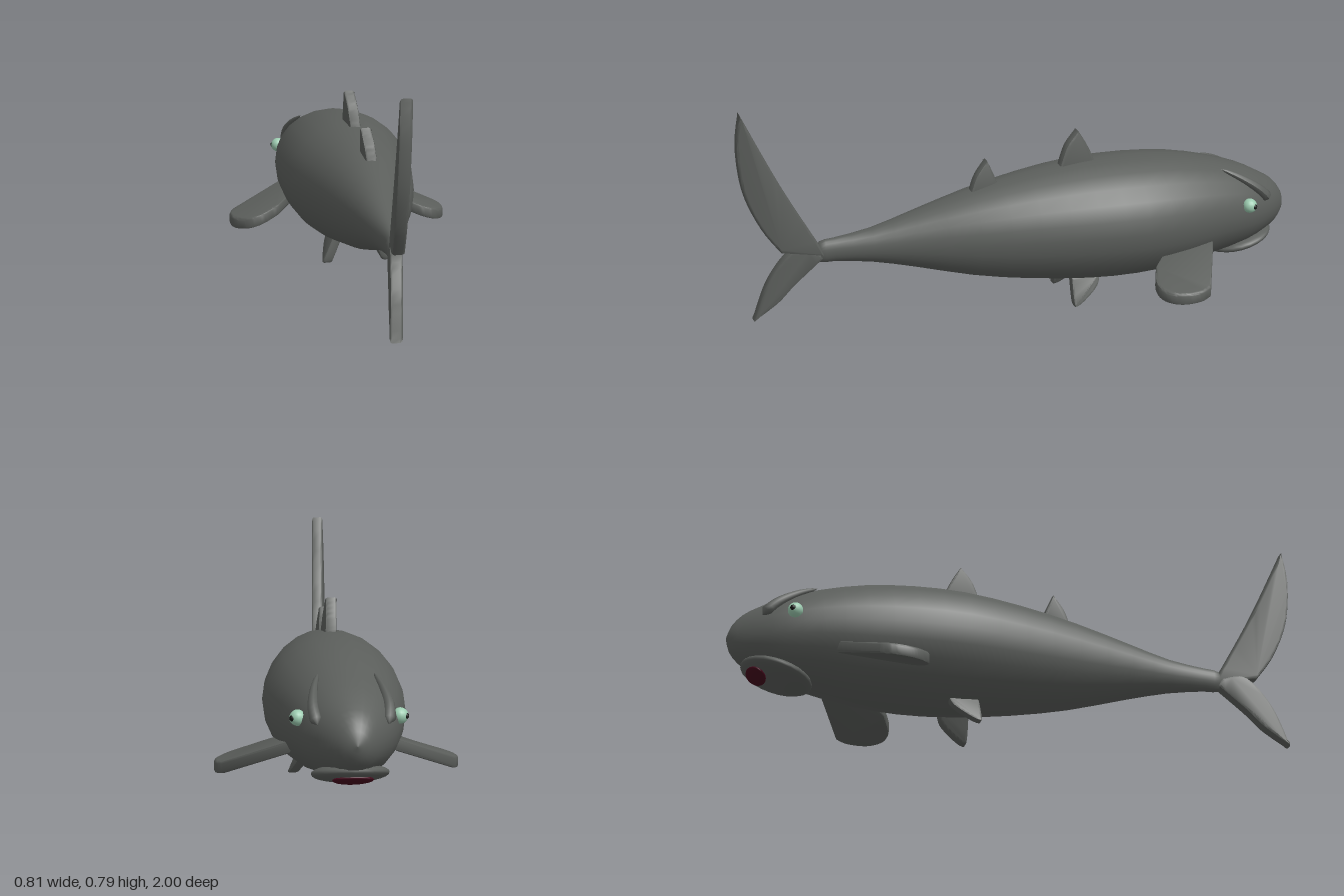
import * as THREE from 'three';
import { toCreasedNormals } from 'three/addons/utils/BufferGeometryUtils.js';

const mat = (name, color) => {
  const m = new THREE.MeshStandardMaterial({ color });
  m.name = name;
  return m;
};

export function createModel() {
  const group = new THREE.Group();
  const skin = mat('greySkin', 0x5b5e5b);
  const eyeMat = mat('mintEye', 0x9ccbb0);
  const dark = mat('blackPupil', 0x141614);
  const red = mat('maroonMouth', 0x45061c);

  const add = (name, geo, material) => {
    const mesh = new THREE.Mesh(geo, material);
    mesh.name = name;
    group.add(mesh);
    return mesh;
  };

  // Moves every vertex by a rule
  const warp = (geo, rule) => {
    const p = geo.attributes.position;
    const v = new THREE.Vector3();
    for (let i = 0; i < p.count; i++) {
      v.fromBufferAttribute(p, i);
      rule(v, i);
      p.setXYZ(i, v.x, v.y, v.z);
    }
    geo.computeVertexNormals();
    return geo;
  };

  // Slab from an outline of smooth runs, with softened edges
  const slab = (runs, thick) => {
    const shape = new THREE.Shape();
    shape.moveTo(...runs[0][0]);
    for (const run of runs) {
      const pts = run.map(([x, y]) => new THREE.Vector2(x, y));
      if (pts.length === 2) shape.lineTo(pts[1].x, pts[1].y);
      else shape.splineThru(pts.slice(1));
    }
    const b = 0.008;
    const geo = new THREE.ExtrudeGeometry(shape, {
      depth: thick - 2 * b, curveSegments: 5, bevelEnabled: true,
      bevelThickness: b, bevelSize: b, bevelOffset: -b, bevelSegments: 2,
    });
    return geo.translate(0, 0, b - thick / 2);
  };

  // Upright fin: outline in (z, y), shifted sideways by a rule
  const uprightFin = (name, runs, thick, shift) => {
    const geo = warp(slab(runs, thick).rotateY(-Math.PI / 2), (v) => { v.x += shift(v.z, v.y); });
    return add(name, toCreasedNormals(geo, 0.7), skin);
  };

  // Body sections: z, centre x, centre y, half width, half height
  const sections = [
    [-1, 0, 0.255, 0, 0], [-0.985, 0, 0.255, 0.04, 0.045], [-0.95, 0, 0.258, 0.077, 0.085],
    [-0.9, 0, 0.262, 0.114, 0.113], [-0.82, 0, 0.268, 0.155, 0.148], [-0.7, 0, 0.278, 0.19, 0.178],
    [-0.55, 0.001, 0.282, 0.22, 0.208], [-0.38, 0, 0.285, 0.235, 0.221], [-0.2, -0.009, 0.285, 0.226, 0.218],
    [0, -0.016, 0.284, 0.19, 0.195], [0.2, -0.028, 0.28, 0.143, 0.157], [0.4, -0.048, 0.274, 0.087, 0.102],
    [0.55, -0.063, 0.267, 0.05, 0.062], [0.68, -0.078, 0.262, 0.027, 0.043], [0.73, -0.083, 0.258, 0.022, 0.038],
    [0.75, -0.086, 0.255, 0, 0],
  ];
  const curveOf = (f) => new THREE.CatmullRomCurve3(
    sections.map((s) => new THREE.Vector3(...f(s))), false, 'catmullrom', 0.5);
  const spine = curveOf(([z, x, y]) => [x, y, z]);
  const girth = curveOf(([z, , , rx, ry]) => [rx, ry, z]);
  const sides = 24, rings = (sections.length - 1) * 2;
  const pos = [], index = [];
  for (let i = 0; i <= rings; i++) {
    const c = spine.getPoint(i / rings), r = girth.getPoint(i / rings);
    for (let j = 0; j < sides; j++) {
      const a = (j / sides) * Math.PI * 2;
      pos.push(c.x + r.x * Math.cos(a), c.y + r.y * Math.sin(a), c.z);
      if (i === rings) continue;
      const p = i * sides + j, q = i * sides + ((j + 1) % sides);
      index.push(p, q, p + sides, q, q + sides, p + sides);
    }
  }
  const bodyGeo = new THREE.BufferGeometry();
  bodyGeo.setAttribute('position', new THREE.Float32BufferAttribute(pos, 3));
  bodyGeo.setIndex(index);
  bodyGeo.computeVertexNormals();
  add('body', bodyGeo, skin);

  // Tail lobes, swept to one side
  const tailShift = (z, y) => -0.077 - 0.18 * (z - 0.73) + 0.03 * (y - 0.25);
  uprightFin('upperTailLobe', [
    [[0.72, 0.25], [0.735, 0.29]],
    [[0.735, 0.29], [0.86, 0.52], [0.985, 0.785]],
    [[0.985, 0.785], [1, 0.66], [0.983, 0.5], [0.93, 0.365], [0.865, 0.27]],
    [[0.865, 0.27], [0.72, 0.25]],
  ], 0.042, tailShift);
  uprightFin('lowerTailLobe', [
    [[0.72, 0.24], [0.74, 0.265]],
    [[0.74, 0.265], [0.825, 0.272], [0.91, 0.165], [0.965, 0.015]],
    [[0.965, 0.015], [0.88, 0.08], [0.82, 0.145], [0.72, 0.24]],
  ], 0.042, (z, y) => tailShift(z, y) - 0.005);

  // Back fins
  uprightFin('frontDorsalFin', [
    [[-0.255, 0.48], [-0.25, 0.51], [-0.225, 0.565], [-0.195, 0.615]],
    [[-0.195, 0.615], [-0.15, 0.56], [-0.12, 0.48]],
    [[-0.12, 0.48], [-0.255, 0.48]],
  ], 0.04, (z, y) => -0.009 - 0.07 * (y - 0.5));
  uprightFin('rearDorsalFin', [
    [[0.1, 0.43], [0.105, 0.46], [0.118, 0.495], [0.138, 0.54]],
    [[0.138, 0.54], [0.18, 0.485], [0.205, 0.42]],
    [[0.205, 0.42], [0.1, 0.43]],
  ], 0.04, (z, y) => -0.027 - 0.07 * (y - 0.44));

  for (const s of [1, -1]) {
    const side = s > 0 ? 'left' : 'right';

    // Pectoral fin: outline in (x, -z), drooping outwards
    const flip = (run) => run.map(([x, y]) => [x * s, y]);
    const pectoral = slab([
      [[0.17, 0.65], [0.385, 0.545]],
      [[0.385, 0.545], [0.404, 0.5], [0.398, 0.43], [0.36, 0.38], [0.305, 0.37], [0.235, 0.4]],
      [[0.235, 0.4], [0.18, 0.46]],
      [[0.18, 0.46], [0.17, 0.65]],
    ].map(flip), 0.042).rotateX(-Math.PI / 2);
    warp(pectoral, (v) => {
      const d = Math.abs(v.x) - 0.2;
      v.y += 0.168 - 0.48 * d + 0.7 * d * d - 0.06 * (v.z + 0.5);
    });
    add(side + 'PectoralFin', toCreasedNormals(pectoral, 0.7), skin);

    // Pelvic fin
    uprightFin(side + 'PelvicFin', [
      [[-0.25, 0.1], [-0.235, 0.06], [-0.19, 0.022], [-0.15, 0], [-0.137, 0.012], [-0.14, 0.1]],
      [[-0.14, 0.1], [-0.25, 0.1]],
    ], 0.037, (z, y) => s * (0.075 + 0.42 * (0.085 - y)));

    // Eye and pupil
    add(side + 'Eye', new THREE.SphereGeometry(0.026, 16, 12), eyeMat)
      .position.set(s * 0.163, 0.312, -0.793);
    add(side + 'Pupil', new THREE.SphereGeometry(0.011, 10, 8), dark)
      .position.set(s * 0.179, 0.312, -0.803);

    // Brow ridge, blunt in front and tapering backwards
    const path = new THREE.CatmullRomCurve3([
      [0.112, 0.305, -0.895], [0.12, 0.352, -0.85], [0.11, 0.4, -0.78], [0.09, 0.437, -0.71],
    ].map(([x, y, z]) => new THREE.Vector3(x * s, y, z)));
    const n = 12, sidesB = 8;
    const brow = warp(new THREE.TubeGeometry(path, n, 0.021, sidesB), (v, i) => {
      const u = Math.floor(i / (sidesB + 1)) / n;
      const k = u === 0 ? 0 : Math.min(1, u * 12) * Math.sqrt(1 - u);
      const c = path.getPointAt(u);
      v.sub(c).multiplyScalar(k).add(c);
    });
    add(side + 'Brow', brow, skin);
  }

  // Lips and open mouth on the underside of the head
  const lips = add('lips', new THREE.SphereGeometry(1, 24, 14), skin);
  lips.scale.set(0.125, 0.03, 0.127);
  lips.position.set(0, 0.137, -0.823);
  lips.rotation.x = 0.26;
  const mouth = add('mouth', new THREE.SphereGeometry(1, 20, 12), red);
  mouth.scale.set(0.066, 0.012, 0.037);
  mouth.position.set(0, 0.129, -0.892);
  mouth.rotation.x = 0.45;

  return group;
}
